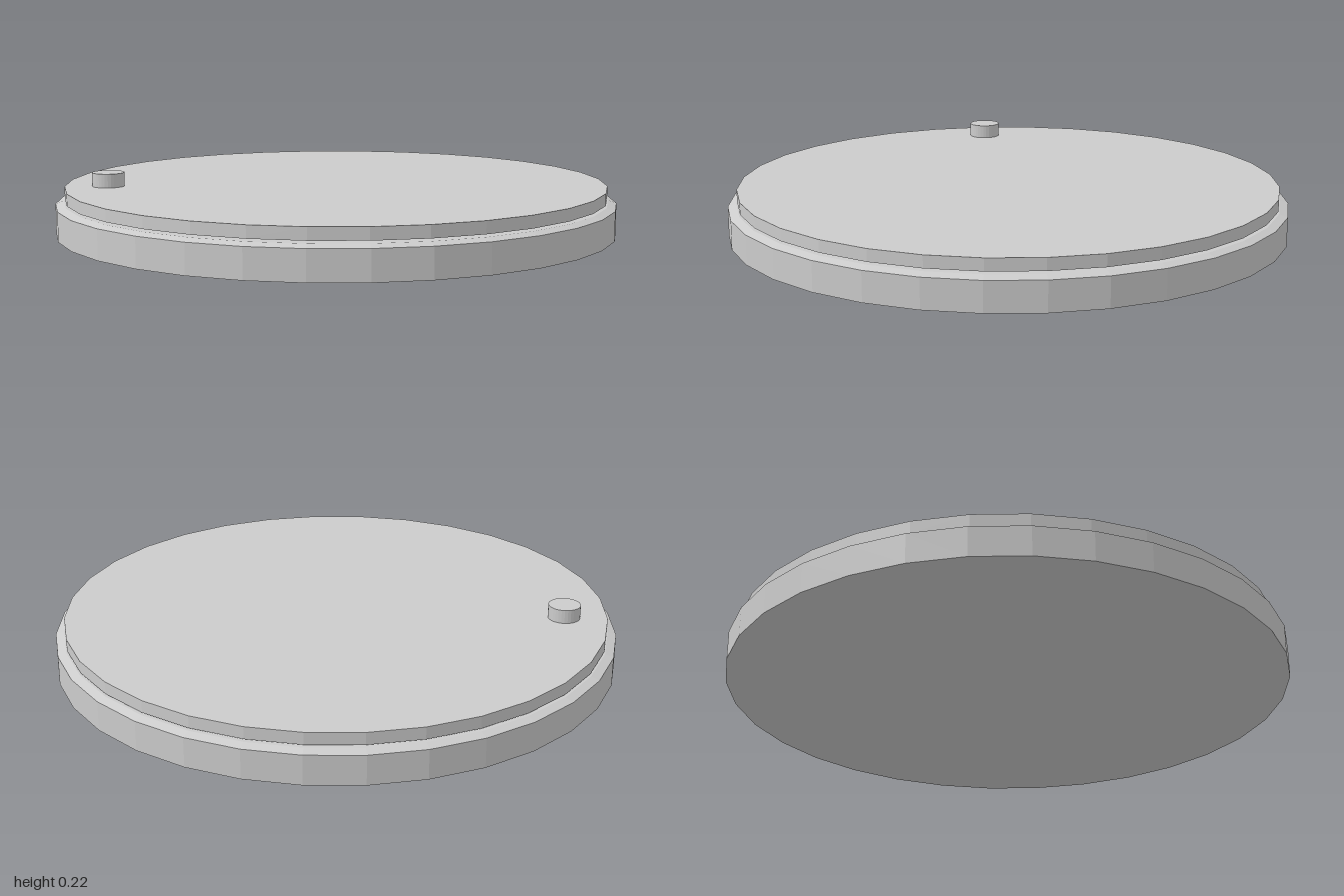
import * as THREE from 'three';

const SIDES = 32;

export function createModel() {
  const group = new THREE.Group();
  const material = new THREE.MeshStandardMaterial({ color: 0xcccccc, flatShading: true });

  const add = (name, geometry, x, y) => {
    const mesh = new THREE.Mesh(geometry, material);
    mesh.name = name;
    mesh.position.set(x, y, 0);
    group.add(mesh);
  };
  // Upright disc standing on height y
  const disc = (name, radius, height, x, y) =>
    add(name, new THREE.CylinderGeometry(radius, radius, height, SIDES), x, y + height / 2);

  // Base with a chamfered upper rim
  const profile = [[0, 0], [1, 0], [1, 0.105], [0.97, 0.115], [0, 0.115]]
    .map(([r, y]) => new THREE.Vector2(r, y));
  add('base', new THREE.LatheGeometry(profile, SIDES), 0, 0);

  // Top plate, held just clear of the base
  disc('topPlate', 0.967, 0.043, 0, 0.123);

  // Small round peg near the right edge
  disc('peg', 0.057, 0.049, -0.813, 0.166);

  return group;
}
